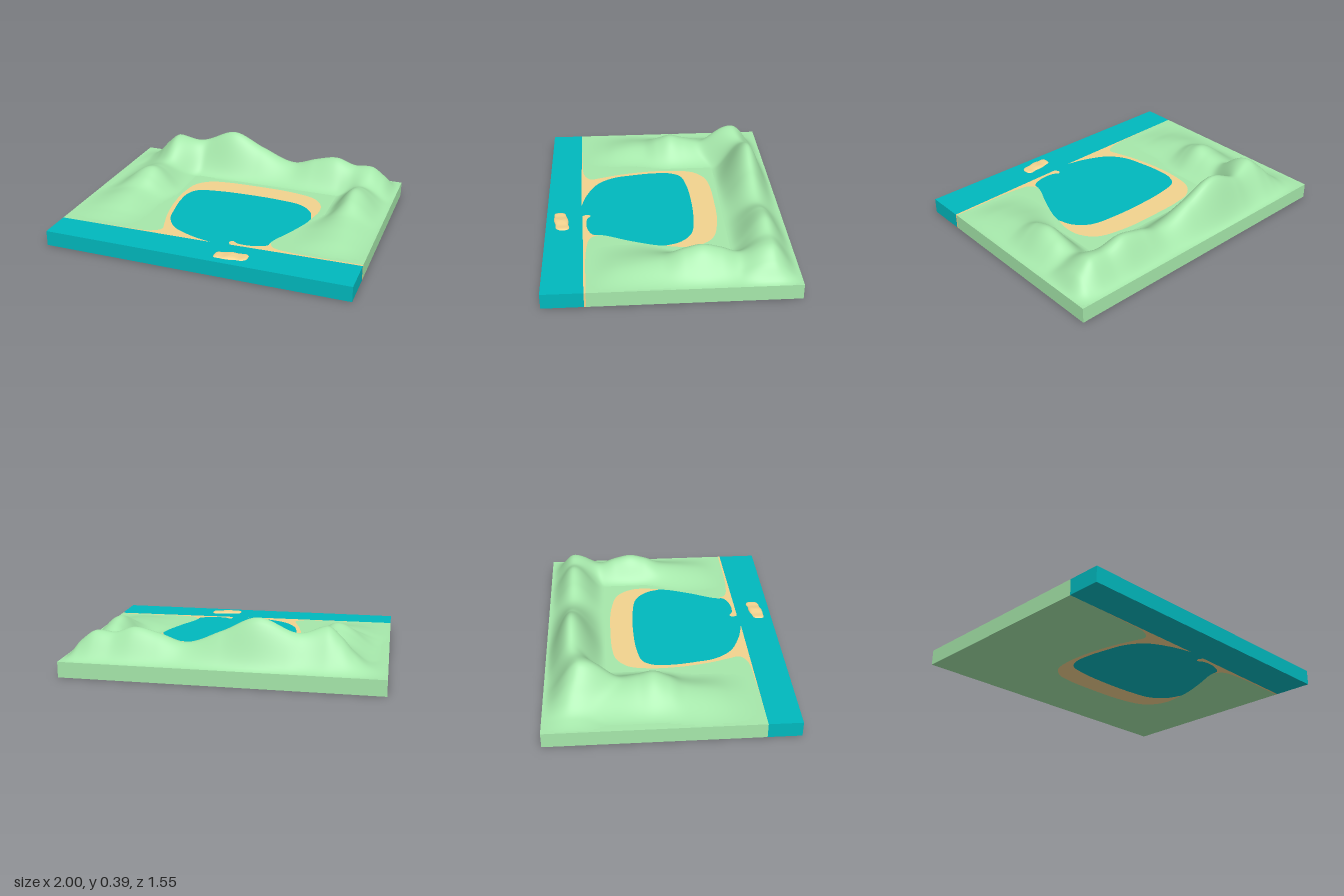
import * as THREE from 'three';

const TOP = 0.1, BACK = -0.775, FRONT = 0.775;
const green = new THREE.MeshStandardMaterial({ color: 0xa6e8ab });
const teal = new THREE.MeshStandardMaterial({ color: 0x00b9be });
const tan = new THREE.MeshStandardMaterial({ color: 0xf3d38f });

// Smooth 1D profile through [position, value] keys, without overshoot
function profile(keys) {
  const slope = i => (keys[i + 1][1] - keys[i][1]) / (keys[i + 1][0] - keys[i][0]);
  const tangents = keys.map((k, i) => {
    if (i === 0 || i === keys.length - 1) return 0;
    const a = slope(i - 1), b = slope(i);
    return a * b <= 0 ? 0 : 2 * a * b / (a + b);
  });
  return x => {
    if (x <= keys[0][0]) return keys[0][1];
    for (let i = 0; i < keys.length - 1; i++) {
      if (x > keys[i + 1][0]) continue;
      const w = keys[i + 1][0] - keys[i][0], t = (x - keys[i][0]) / w, s = 1 - t;
      return keys[i][1] * (1 + 2 * t) * s * s + tangents[i] * w * t * s * s
        + keys[i + 1][1] * t * t * (3 - 2 * t) - tangents[i + 1] * w * t * t * s;
    }
    return keys[keys.length - 1][1];
  };
}

// Bell cross-section of a ridge with a different width on each side
function bell(d, before, after) {
  const u = Math.min(1, Math.abs(d) / (d < 0 ? before : after));
  return Math.cos(u * Math.PI / 2) ** 2;
}

// Ridge crests: heights above the slab, crest lines and widths
const backCrest = profile([[-1, 0], [-0.9, 0.02], [-0.8, 0.085], [-0.72, 0.17], [-0.63, 0.237], [-0.48, 0.202],
  [-0.22, 0.292], [0, 0.2], [0.24, 0.115], [0.4, 0.165], [0.55, 0.198], [0.7, 0.157], [0.8, 0.157], [0.9, 0.1], [1, 0]]);
const backLine = profile([[-0.9, -0.6], [-0.63, -0.54], [-0.4, -0.6]]);
const backFront = profile([[-0.88, 0.24], [-0.63, 0.38], [-0.42, 0.22], [0.6, 0.22], [0.8, 0.3]]);
const rightCrest = profile([[BACK, 0], [-0.6, 0.12], [-0.34, 0.1], [-0.19, 0.128], [-0.1, 0.152], [0, 0.115],
  [0.1, 0.066], [0.2, 0.055], [0.3, 0.038], [0.4, 0.016], [0.54, 0]]);
const rightLine = profile([[-0.1, -0.66], [0.2, -0.71]]);
const leftCrest = profile([[BACK, 0], [-0.6, 0.11], [-0.43, 0.085], [-0.3, 0.132], [-0.19, 0.157], [-0.08, 0.13],
  [0.05, 0.07], [0.2, 0.048], [0.32, 0.03], [0.5, 0]]);
const leftInner = profile([[-0.1, 0.17], [0.2, 0.28]]);

function hillHeight(x, z) {
  const zc = backLine(x), xc = rightLine(z);
  const ridges = [
    backCrest(x) * bell(z - zc, zc - BACK, backFront(x)),
    rightCrest(z) * bell(x - xc, 0.29, 0.23),
    leftCrest(z) * bell(x - 0.78, leftInner(z), 0.22),
  ];
  return ridges.reduce((sum, h) => sum + h ** 4, 0) ** 0.25;
}

// Height field; only the raised cells get faces
function hillGeometry(nx, nz) {
  const pos = [], index = [], h = [];
  for (let j = 0; j <= nz; j++) for (let i = 0; i <= nx; i++) {
    const x = -1 + 2 * i / nx, z = BACK + (FRONT - BACK) * j / nz;
    h.push(hillHeight(x, z));
    pos.push(x, TOP + h[h.length - 1], z);
  }
  for (let j = 0; j < nz; j++) for (let i = 0; i < nx; i++) {
    const a = j * (nx + 1) + i, b = a + 1, c = a + nx + 1, d = c + 1;
    if (Math.max(h[a], h[b], h[c], h[d]) > 0.0008) index.push(a, c, b, b, c, d);
  }
  const g = new THREE.BufferGeometry();
  g.setAttribute('position', new THREE.Float32BufferAttribute(pos, 3));
  g.setIndex(index);
  g.computeVertexNormals();
  return g;
}

// Smooth shore line through [x, z] points
const shore = (pts, n) => new THREE.CatmullRomCurve3(pts.map(([x, z]) => new THREE.Vector3(x, 0, z)))
  .getPoints(n).map(p => [p.x, p.z]);

// Slab of the given [x, z] outline, standing on the ground
function slab(outline) {
  const shape = new THREE.Shape(outline.map(([x, z]) => new THREE.Vector2(x, -z)));
  return new THREE.ExtrudeGeometry(shape, { depth: TOP, bevelEnabled: false }).rotateX(-Math.PI / 2);
}

export function createModel() {
  const model = new THREE.Group();
  const add = (name, geometry, material) => {
    const mesh = new THREE.Mesh(geometry, material);
    mesh.name = name;
    model.add(mesh);
  };

  // Lagoon shore beside the beach, beside the grass, and beside the sand spit
  const beachShore = shore([[0.04, 0.55], [-0.1, 0.515], [-0.25, 0.44], [-0.33, 0.33], [-0.36, 0.2], [-0.38, 0.05],
    [-0.375, -0.07], [-0.33, -0.145], [-0.2, -0.18], [0, -0.195], [0.25, -0.19], [0.42, -0.16], [0.51, -0.08], [0.545, 0.02]], 90);
  const grassShore = shore([[0.545, 0.02], [0.53, 0.09], [0.47, 0.25], [0.41, 0.38], [0.395, 0.43]], 24);
  const spitShore = shore([[0.395, 0.43], [0.39, 0.47], [0.31, 0.508], [0.21, 0.51], [0.165, 0.488], [0.15, 0.51], [0.165, 0.54]], 36);
  // Edges between grass and sand
  const beachEdge = shore([[-0.9, 0.563], [-0.6, 0.553], [-0.38, 0.535], [-0.32, 0.49], [-0.335, 0.42], [-0.37, 0.3],
    [-0.405, 0.1], [-0.41, -0.1], [-0.38, -0.24], [-0.3, -0.315], [-0.2, -0.34], [0, -0.35], [0.3, -0.34],
    [0.48, -0.29], [0.55, -0.2], [0.565, -0.1], [0.545, 0.02]], 100);
  const spitEdge = shore([[0.395, 0.43], [0.43, 0.485], [0.55, 0.51], [1, 0.508]], 30);

  add('land', slab([[-1, 0.565], ...beachEdge, ...grassShore.slice(1), ...spitEdge.slice(1), [1, BACK], [-1, BACK]]), green);
  add('beach', slab([...beachEdge, ...beachShore.slice(0, -1).reverse()]), tan);
  add('sandSpit', slab([...spitShore, [1, 0.52], ...spitEdge.slice(1).reverse()]), tan);
  add('water', slab([[-1, FRONT], [-1, 0.565], [-0.9, 0.563], ...beachShore, ...grassShore.slice(1),
    ...spitShore.slice(1), [1, 0.52], [1, FRONT]]), teal);
  add('hills', hillGeometry(150, 120), green);

  // Low lumpy islet off the channel mouth
  const rock = new THREE.SphereGeometry(1, 40, 20, 0, Math.PI * 2, 0, Math.PI / 2);
  const p = rock.attributes.position;
  const square = v => Math.sign(v) * Math.abs(v) ** 0.55;
  for (let i = 0; i < p.count; i++) {
    const x = square(p.getX(i)), z = square(p.getZ(i)), y = p.getY(i);
    p.setXYZ(i, 0.225 + 0.105 * x, TOP - 0.001 + y * (0.011 + 0.003 * Math.cos(6 * x)),
      0.677 - 0.014 * x + z * (0.045 + 0.004 * Math.cos(7 * x + 1)));
  }
  rock.computeVertexNormals();
  add('islet', rock, tan);
  return model;
}
